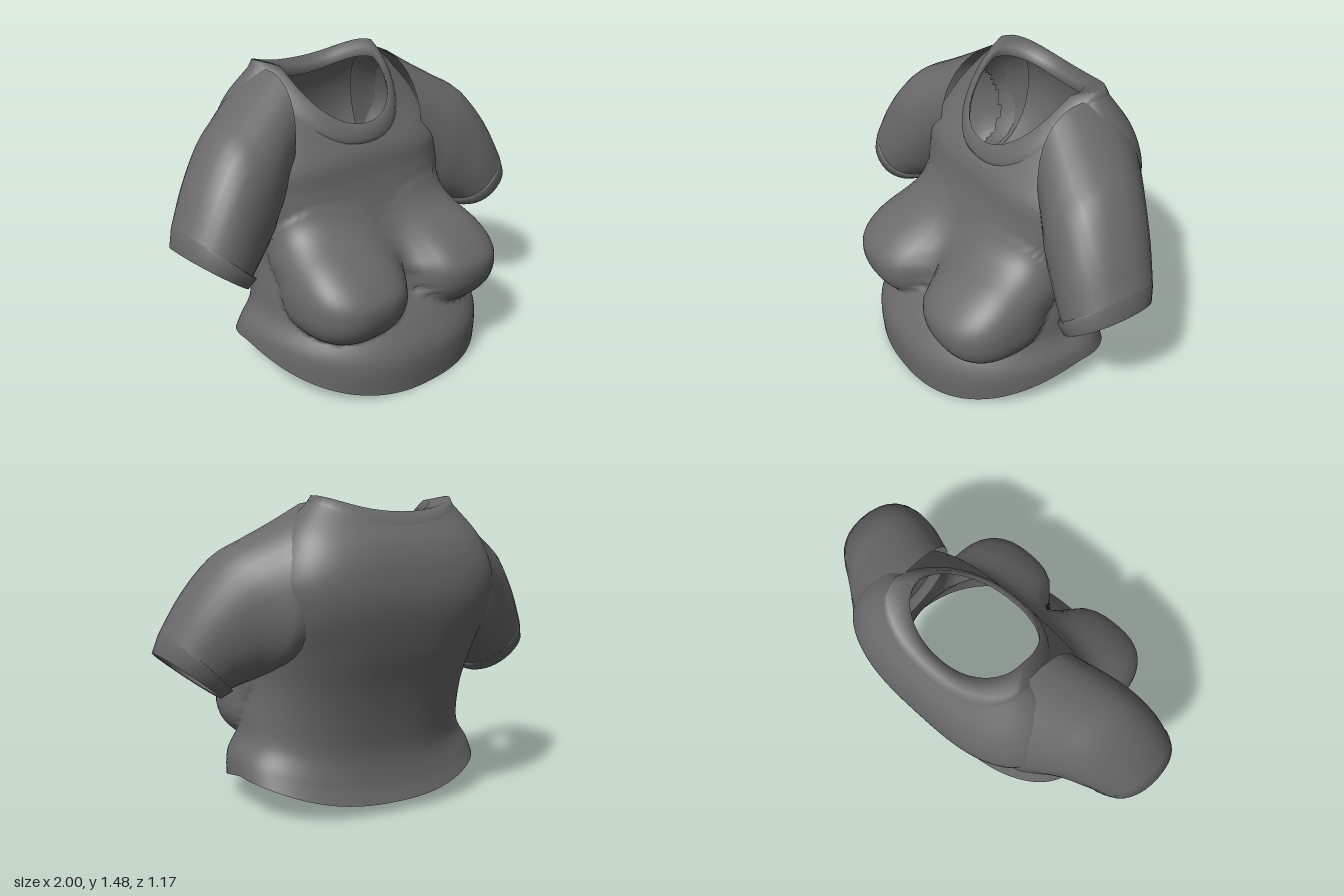
import * as THREE from 'three';

const fabric = new THREE.MeshStandardMaterial({ color: 0x696969, side: THREE.DoubleSide });
fabric.name = 'grey fabric';

// Skin a list of closed loops; quads whose first corner passes skip() are left out
function loft(name, loops, skip = () => false) {
  const n = loops[0].length, pos = [], index = [];
  loops.forEach((loop) => loop.forEach((p) => pos.push(p.x, p.y, p.z)));
  for (let r = 0; r < loops.length - 1; r++) {
    for (let i = 0; i < n; i++) {
      if (skip(loops[r][i])) continue;
      const a = r * n + i, b = r * n + (i + 1) % n;
      index.push(a, a + n, b, b, a + n, b + n);
    }
  }
  const g = new THREE.BufferGeometry();
  g.setAttribute('position', new THREE.Float32BufferAttribute(pos, 3));
  g.setIndex(index);
  g.computeVertexNormals();
  const mesh = new THREE.Mesh(g, fabric);
  mesh.name = name;
  return mesh;
}

// Smoothly resample rows of parameters
function resample(rows, steps) {
  const out = [], last = rows.length - 1;
  for (let k = 0; k <= steps; k++) {
    const t = (k / steps) * last, i = Math.min(Math.floor(t), last - 1), f = t - i;
    const p0 = rows[Math.max(i - 1, 0)], p1 = rows[i], p2 = rows[i + 1], p3 = rows[Math.min(i + 2, last)];
    out.push(p1.map((v, j) => v + 0.5 * f * (p2[j] - p0[j]
      + f * (2 * p0[j] - 5 * v + 4 * p2[j] - p3[j] + f * (3 * (v - p2[j]) + p3[j] - p0[j])))));
  }
  return out;
}

const signedPow = (v, e) => Math.sign(v) * Math.abs(v) ** e;

// Tilted body ring: side x, y, z; front y, z; back y, z; roundness (lower is boxier)
function bodyRing([sx, sy, sz, fy, fz, by, bz, e], n) {
  const pts = [];
  for (let i = 0; i < n; i++) {
    const a = (i / n) * Math.PI * 2, s = Math.sin(a);
    const x = sx * signedPow(Math.cos(a), e), t = Math.abs(s) ** e;
    pts.push(s >= 0
      ? new THREE.Vector3(x, sy + (fy - sy) * t ** 1.2, sz + (fz - sz) * t)
      : new THREE.Vector3(x, sy + (by - sy) * t ** 2.6, sz + (bz - sz) * t));
  }
  return pts;
}

// Rough distance to the bust: full below, sloping into the chest above
function bustDistance(x, y, z) {
  const dx = Math.abs((Math.sqrt(x * x + 0.001) - 0.31) / 0.275), dz = z - 0.275, dy = y - 0.475;
  const ry = dy > 0 ? 0.21 * Math.max(1.2 - 2 * dz, 0.5) : 0.215;
  const q = dx ** 2.6 + Math.abs(dy / ry) ** 2.3 + Math.abs(dz / 0.285) ** 2.4;
  return (q ** (1 / 2.4) - 1) * 0.26;
}

// Swell a torso point outward: soft blend above the bust, crisp fold beneath it
function swell(p) {
  const z0 = -0.05, dx = p.x, dz = p.z - z0, len = Math.hypot(dx, dz), step = 0.02;
  if (dz <= 0.02) return p;
  const k = 0.02 + 0.12 * THREE.MathUtils.smoothstep(p.y, 0.45, 0.65);
  const field = (t) => {
    const a = (t - 1) * len, b = bustDistance(dx * t, p.y, z0 + dz * t);
    const h = Math.max(k - Math.abs(a - b), 0);
    return Math.min(a, b) - (h * h) / (4 * k);
  };
  for (let t = 2.4; t > 1; t -= step) {
    if (field(t) > 0) continue;
    let lo = t, hi = t + step;
    for (let i = 0; i < 8; i++) {
      const mid = (lo + hi) / 2;
      if (field(mid) > 0) hi = mid; else lo = mid;
    }
    return p.set(dx * lo, p.y, z0 + dz * lo);
  }
  return p;
}

const torsoRows = [
  [0.635, 0.18, -0.08, 0.00, 0.58, 0.05, -0.42, 0.85],
  [0.62, 0.25, -0.05, 0.18, 0.58, 0.14, -0.395, 0.85],
  [0.57, 0.34, -0.02, 0.32, 0.50, 0.27, -0.385, 0.85],
  [0.55, 0.45, 0.00, 0.46, 0.37, 0.42, -0.41, 0.82],
  [0.53, 0.60, -0.05, 0.60, 0.31, 0.60, -0.46, 0.78],
  [0.54, 0.75, -0.10, 0.75, 0.23, 0.80, -0.53, 0.74],
  [0.58, 0.92, -0.15, 0.92, 0.165, 1.00, -0.58, 0.68],
  [0.59, 1.10, -0.20, 1.02, 0.14, 1.15, -0.575, 0.66],
  [0.51, 1.30, -0.25, 1.07, 0.12, 1.27, -0.54, 0.72],
  [0.37, 1.455, -0.27, 1.10, 0.10, 1.36, -0.48, 0.85],
];
const collarRows = [
  [0.375, 1.45, -0.27, 1.09, 0.10, 1.35, -0.49, 0.86],
  [0.36, 1.48, -0.28, 1.12, 0.115, 1.41, -0.465, 0.9],
  [0.29, 1.46, -0.20, 1.19, 0.085, 1.385, -0.40, 0.93],
  [0.30, 1.41, -0.20, 1.15, 0.075, 1.33, -0.41, 0.93],
];

// Sleeve ring: top x, y; bottom x, y; front z; back z
function sleeveRing([tx, ty, bx, by, fz, bz], side, n = 32) {
  const pts = [];
  for (let i = 0; i < n; i++) {
    const a = (i / n) * Math.PI * 2, u = (1 + signedPow(Math.cos(a), 0.9)) / 2;
    pts.push(new THREE.Vector3(side * (bx + (tx - bx) * u), by + (ty - by) * u,
      (fz + bz) / 2 + ((fz - bz) / 2) * signedPow(Math.sin(a), 0.9)));
  }
  return pts;
}
const sleeveRows = [
  [0.355, 1.45, 0.46, 0.74, 0.055, -0.49],
  [0.49, 1.365, 0.52, 0.71, 0.105, -0.465],
  [0.61, 1.295, 0.55, 0.68, 0.14, -0.415],
  [0.74, 1.215, 0.59, 0.65, 0.165, -0.35],
  [0.87, 1.05, 0.65, 0.62, 0.19, -0.29],
  [0.97, 0.87, 0.69, 0.60, 0.20, -0.24],
];
const cuffRows = [
  sleeveRows[sleeveRows.length - 1],
  [0.975, 0.855, 0.67, 0.59, 0.21, -0.245],
  [1.00, 0.78, 0.72, 0.56, 0.205, -0.215],
  [0.98, 0.77, 0.74, 0.58, 0.18, -0.19],
  [0.93, 0.86, 0.70, 0.64, 0.17, -0.20],
];

export function createModel() {
  const shirt = new THREE.Group();
  shirt.name = 'shirt';

  // Hollow torso with open armholes
  const armhole = (p) => Math.abs(p.x) > 0.49
    && ((p.y - 0.99) / 0.24) ** 2 + ((p.z + 0.17) / 0.22) ** 2 < 1;
  const loops = resample(torsoRows, 90).map((row) => bodyRing(row, 120).map(swell));
  shirt.add(loft('torso', loops, armhole));

  // Neck band
  shirt.add(loft('collar', collarRows.map((row) => bodyRing(row, 48))));

  // Sleeves with turned cuffs
  for (const side of [1, -1]) {
    const label = side > 0 ? 'left' : 'right';
    shirt.add(loft(label + 'Sleeve', resample(sleeveRows, 20).map((r) => sleeveRing(r, side))));
    shirt.add(loft(label + 'Cuff', cuffRows.map((r) => sleeveRing(r, side))));
  }
  return shirt;
}
